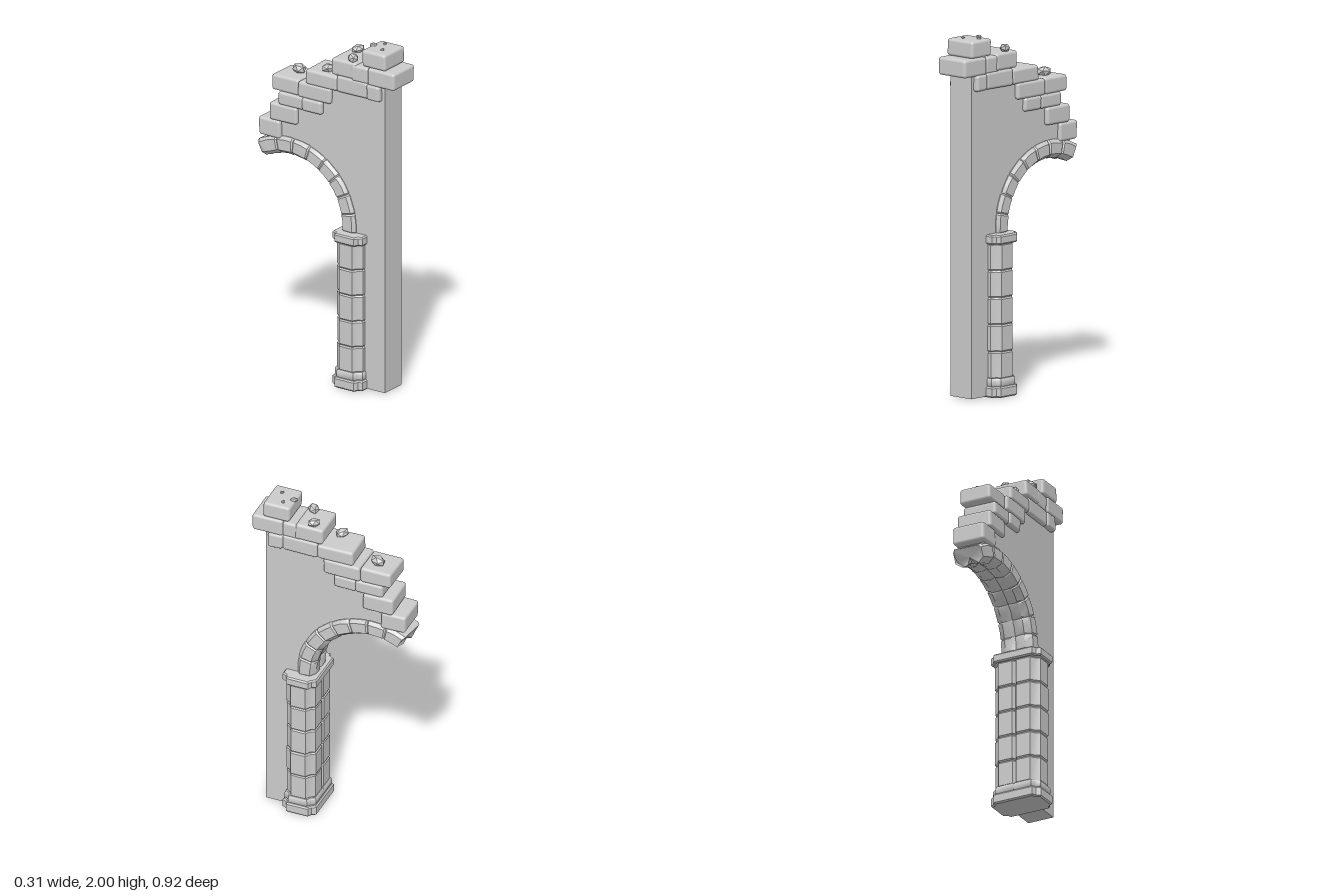
import * as THREE from 'three';
import { toCreasedNormals } from 'three/addons/utils/BufferGeometryUtils.js';
import { RoundedBoxGeometry } from 'three/addons/geometries/RoundedBoxGeometry.js';

const stone = new THREE.MeshStandardMaterial({ color: 0xcccccc });
const facetedStone = new THREE.MeshStandardMaterial({ color: 0xcccccc, flatShading: true });

let seed = 7;
// Seeded value in -1..1
function rnd() {
  seed = (seed * 16807) % 2147483647;
  return (seed / 2147483647) * 2 - 1;
}

function add(parent, name, geometry, material = stone) {
  const mesh = new THREE.Mesh(geometry, material);
  mesh.name = name;
  parent.add(mesh);
  return mesh;
}

// Skin a list of equal-length rings and close both ends with fans
function loft(rings) {
  const n = rings[0].length, last = (rings.length - 1) * n;
  const centre = (r) => r.reduce((s, p) => s.add(p), new THREE.Vector3()).divideScalar(n);
  const points = [...rings.flat(), centre(rings[0]), centre(rings[rings.length - 1])];
  const index = [];
  for (let j = 0; j < n; j++) {
    const k = (j + 1) % n;
    for (let i = 0; i < last; i += n) index.push(i + j, i + k, i + n + k, i + j, i + n + k, i + n + j);
    index.push(last + n, k, j, last + n + 1, last + j, last + k);
  }
  const g = new THREE.BufferGeometry().setFromPoints(points);
  g.setIndex(index);
  return toCreasedNormals(g, 0.6);
}

// Pier cross-section: square with scooped corners, as [z, x] pairs
function pierSection(radius, flat) {
  const mid = (radius + flat) / 2 - radius * 0.06;
  const out = [];
  for (let q = 0; q < 4; q++) {
    const c = Math.round(Math.cos(q * Math.PI / 2)), s = Math.round(Math.sin(q * Math.PI / 2));
    for (const [a, b] of [[radius, -flat], [radius, flat], [mid, mid]]) out.push([a * c - b * s, a * s + b * c]);
  }
  return out;
}

// One bevelled drum of a pier shaft
function drum(cx, y0, y1, radius, flat, bevel) {
  const section = pierSection(radius, flat);
  const ring = (y, k) => section.map(([z, x]) => new THREE.Vector3(cx + x * k, y, 0.162 + z * k));
  return loft([ring(y0, 0.93), ring(y0 + bevel, 1), ring(y1 - bevel, 1), ring(y1, 0.93)]);
}

function createPier(side) {
  const pier = new THREE.Group();
  pier.name = side > 0 ? 'leftPier' : 'rightPier';
  const cx = side * 0.055;
  add(pier, 'plinth', drum(cx, 0, 0.06, 0.1, 0.065, 0.008));
  add(pier, 'baseMoulding', drum(cx, 0.058, 0.105, 0.093, 0.055, 0.01));
  for (let i = 0; i < 5; i++) {
    const y = 0.1 + i * 0.15;
    add(pier, 'shaftBlock', drum(cx, y, y + 0.15, 0.086 + rnd() * 0.0015, 0.043, 0.008));
  }
  add(pier, 'capital', drum(cx, 0.848, 0.9, 0.1, 0.065, 0.008));
  return pier;
}

// Broken half arch of wedge stones around the centre z = -0.25, y = 0.92
function createArch() {
  const arch = new THREE.Group();
  arch.name = 'arch';
  const section = [
    [0.44, -0.082], [0.44, 0.082], [0.422, 0.098], [0.362, 0.098], [0.336, 0.062],
    [0.336, 0.022], [0.347, 0], [0.336, -0.022], [0.336, -0.062], [0.362, -0.098], [0.422, -0.098],
  ];
  const ring = (angle, k, wobble = 0) => section.map(([r, x]) => {
    const rr = 0.388 + (r - 0.388) * k + rnd() * 0.002;
    const a = angle + rnd() * wobble;
    return new THREE.Vector3(x * k, 0.92 + rr * Math.sin(a), -0.25 + rr * Math.cos(a));
  });
  const count = 8, start = -0.06, step = (2.04 - start) / count;
  for (let i = 0; i < count; i++) {
    const a0 = start + i * step, a1 = a0 + step, end = i === count - 1;
    add(arch, end ? 'brokenArchStone' : 'archStone', loft([
      ring(a0, 0.93), ring(a0 + 0.02, 1), ring((a0 + a1) / 2, 1),
      ring(a1 - 0.02, 1, end ? 0.05 : 0), ring(a1 + (end ? 0.02 : 0), end ? 0.9 : 0.93, end ? 0.06 : 0),
    ]));
  }
  return arch;
}

// Flat wall infill, drawn with u = -z and extruded along x
function createWall() {
  const s = new THREE.Shape();
  s.moveTo(-0.38, 0.005);
  s.lineTo(-0.16, 0.005);
  s.lineTo(-0.16, 0.92);
  s.absarc(0.25, 0.92, 0.41, Math.PI, 1.18, true);
  const steps = [[0.40, 1.40], [0.34, 1.40], [0.34, 1.50], [0.28, 1.50], [0.28, 1.58], [0.25, 1.58],
    [0.25, 1.66], [0.10, 1.66], [0.10, 1.74], [-0.06, 1.74], [-0.06, 1.84], [-0.38, 1.84]];
  for (const [u, y] of steps) s.lineTo(u, y);
  const g = new THREE.ExtrudeGeometry(s, { depth: 0.155, bevelEnabled: false, curveSegments: 24 });
  g.translate(0, 0, -0.0775);
  g.rotateY(Math.PI / 2);
  return g;
}

// Worn brick: rounded box with a slight taper, shear and tilt
function brick(z0, z1, y0, y1, width) {
  const h = y1 - y0, d = z0 - z1;
  const g = new RoundedBoxGeometry(width, h, d, 3, 0.016);
  const p = g.attributes.position;
  const taperY = rnd() * 0.04, taperZ = rnd() * 0.04, shear = rnd() * 0.04, sag = rnd() * 0.04;
  for (let i = 0; i < p.count; i++) {
    const x = p.getX(i), y = p.getY(i), z = p.getZ(i);
    p.setXYZ(i, x * (1 + taperY * y / h + taperZ * z / d), y * (1 + sag * z / d), z + shear * y + sag * 0.5 * x);
  }
  g.rotateY(rnd() * 0.012);
  g.translate(rnd() * 0.003, (y0 + y1) / 2, (z0 + z1) / 2);
  return g;
}

export function createModel() {
  const model = new THREE.Group();
  model.name = 'ruinedArch';
  add(model, 'wall', createWall());
  for (const side of [1, -1]) model.add(createPier(side));
  model.add(createArch());

  // Stepped broken top: z start, z end, bottom, top, width
  const bricks = new THREE.Group();
  bricks.name = 'bricks';
  model.add(bricks);
  for (const b of [
    [0.392, 0.235, 1.89, 1.985, 0.19],
    [0.455, 0.275, 1.79, 1.89, 0.2], [0.278, 0.165, 1.79, 1.885, 0.192], [0.2, 0.035, 1.8, 1.895, 0.2],
    [0.36, 0.272, 1.705, 1.795, 0.212], [0.276, 0.068, 1.705, 1.8, 0.2], [0.072, -0.14, 1.705, 1.79, 0.198],
    [0.03, -0.187, 1.618, 1.71, 0.206], [-0.187, -0.367, 1.618, 1.71, 0.19],
    [-0.03, -0.16, 1.543, 1.62, 0.205], [-0.155, -0.32, 1.543, 1.62, 0.2],
    [-0.2, -0.38, 1.445, 1.545, 0.204], [-0.308, -0.452, 1.34, 1.445, 0.195],
  ]) add(bricks, 'brick', brick(...b));

  // Loose rubble: x, y, z, radius
  const rubble = new THREE.Group();
  rubble.name = 'rubble';
  model.add(rubble);
  for (const [x, y, z, r] of [
    [0.02, 1.73, -0.26, 0.045], [-0.045, 1.808, -0.02, 0.04], [0.065, 1.912, 0.1, 0.038],
    [-0.06, 1.91, 0.155, 0.04], [0.005, 1.984, 0.245, 0.022], [0.05, 1.988, 0.29, 0.012], [-0.03, 1.988, 0.33, 0.012],
  ]) {
    const chip = add(rubble, 'chip', new THREE.IcosahedronGeometry(r, 0), facetedStone);
    chip.scale.set(0.8, 0.65, 1.05);
    chip.rotation.set(rnd() * 0.3, rnd() * 1.2, rnd() * 0.3);
    chip.position.set(x, y, z);
  }
  return model;
}
